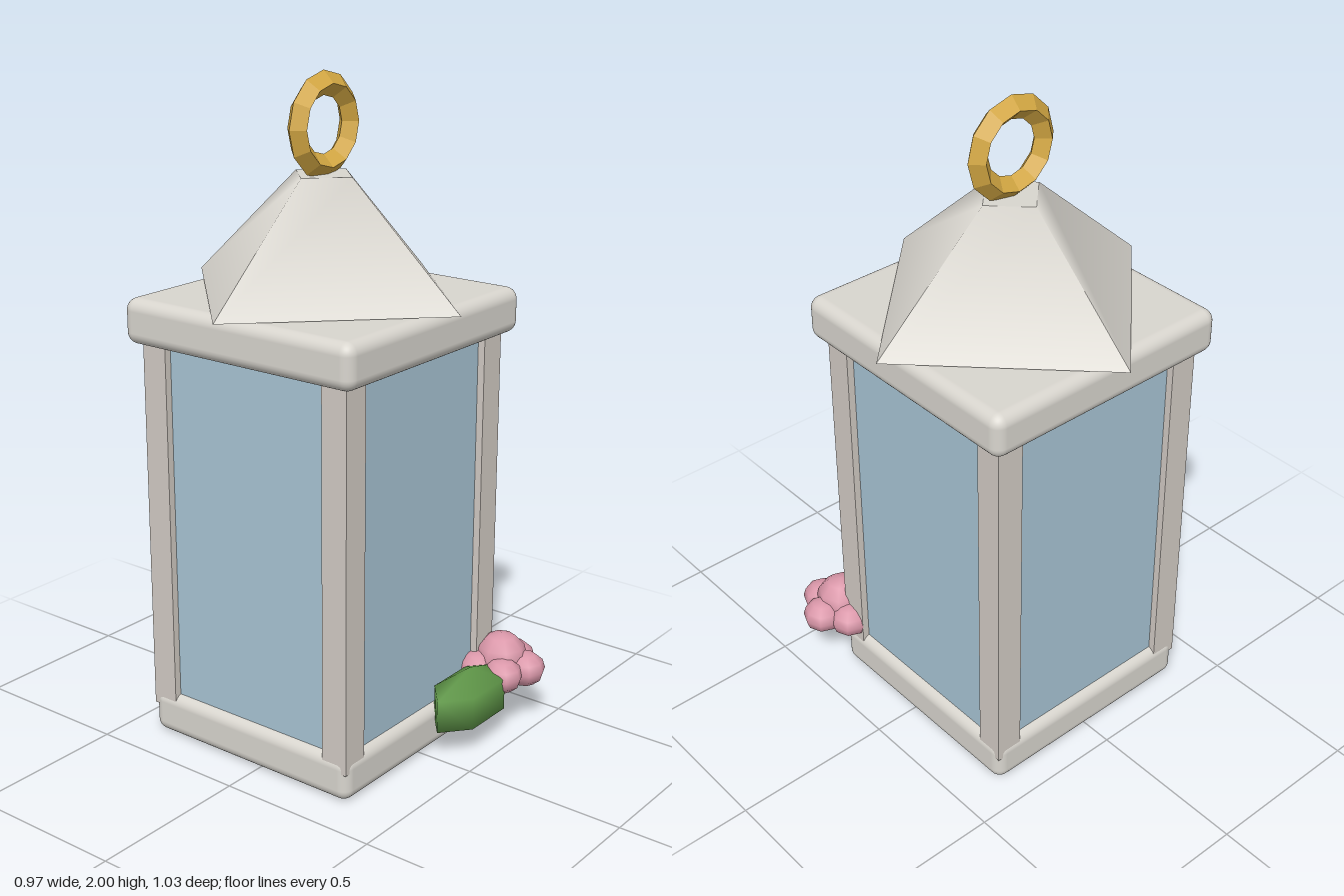
import * as THREE from 'three';
import { RoundedBoxGeometry } from 'three/addons/geometries/RoundedBoxGeometry.js';

function material(name, color) {
  const m = new THREE.MeshStandardMaterial({ color });
  m.name = name;
  return m;
}

function add(parent, name, geometry, mat, x, y, z) {
  const mesh = new THREE.Mesh(geometry, mat);
  mesh.name = name;
  mesh.position.set(x, y, z);
  parent.add(mesh);
  return mesh;
}

// Four-sided roof: crisp at the eaves, softened towards the top
function roofGeometry(topRadius, bottomRadius, height) {
  const geo = new THREE.CylinderGeometry(topRadius, bottomRadius, height, 4, 1, true).toNonIndexed();
  geo.computeVertexNormals();
  const p = geo.attributes.position;
  const n = geo.attributes.normal;
  const slope = (bottomRadius - topRadius) / height;
  const v = new THREE.Vector3();
  for (let i = 0; i < p.count; i++) {
    if (p.getY(i) < 0) continue;
    v.set(p.getX(i), 0, p.getZ(i)).normalize().setY(slope).normalize();
    n.setXYZ(i, v.x, v.y, v.z);
  }
  return geo;
}

export function createModel() {
  const stone = material('stone', 0xd8d5ce);
  const frame = material('frame', 0xd2cbc4);
  const glass = material('glass', 0xa8c4d4);
  const gold = material('gold', 0xd4a843);
  const pink = material('pink', 0xdb98aa);
  const green = material('green', 0x5f9648);

  const model = new THREE.Group();
  model.name = 'lantern';

  const body = new THREE.Group();
  body.name = 'lanternBody';
  body.position.set(-0.005, 0, -0.04);
  model.add(body);

  // Base and cap slabs
  add(body, 'base', new RoundedBoxGeometry(0.746, 0.135, 0.746, 4, 0.035), stone, 0, 0.0675, 0);
  add(body, 'cap', new RoundedBoxGeometry(0.82, 0.136, 0.82, 4, 0.036), stone, 0, 1.3, 0);

  // Glass chamber and corner posts
  add(body, 'glassPanes', new THREE.BoxGeometry(0.694, 1.16, 0.694), glass, 0, 0.68, 0);
  for (const sx of [-1, 1]) {
    for (const sz of [-1, 1]) {
      add(body, 'cornerPost', new THREE.BoxGeometry(0.085, 1.17, 0.085), frame, sx * 0.327, 0.675, sz * 0.327);
    }
  }

  // Roof with its flat top and underside
  const roof = new THREE.Group();
  roof.name = 'roof';
  body.add(roof);
  add(roof, 'roofSides', roofGeometry(0.102, 0.477, 0.34), stone, 0, 1.541, 0);
  add(roof, 'roofTop', new THREE.CircleGeometry(0.102, 4), stone, 0, 1.711, 0).rotation.x = -Math.PI / 2;
  add(roof, 'roofUnderside', new THREE.CircleGeometry(0.477, 4), stone, 0, 1.371, 0).rotation.x = Math.PI / 2;

  // Faceted hanging ring
  const ringGeo = new THREE.TorusGeometry(0.117, 0.035, 4, 12).toNonIndexed();
  ringGeo.computeVertexNormals();
  add(body, 'hangingRing', ringGeo, gold, 0, 1.848, 0);

  // Leaf and blossom on the front left corner of the base
  const leaf = add(model, 'leaf', new THREE.SphereGeometry(1, 6, 3), green, 0.163, 0.14, 0.385);
  leaf.scale.set(0.195, 0.1, 0.094);

  const flower = new THREE.Group();
  flower.name = 'flower';
  flower.position.set(0.345, 0, 0.378);
  model.add(flower);
  add(flower, 'flowerCentre', new THREE.SphereGeometry(0.083, 8, 6), pink, 0, 0.203, 0);
  for (let i = 0; i < 5; i++) {
    const a = (i / 5) * Math.PI * 2;
    const petal = add(flower, 'petal', new THREE.SphereGeometry(1, 8, 6), pink,
      Math.cos(a) * 0.076, 0.178, Math.sin(a) * 0.076);
    petal.scale.set(0.064, 0.054, 0.064);
  }

  return model;
}
